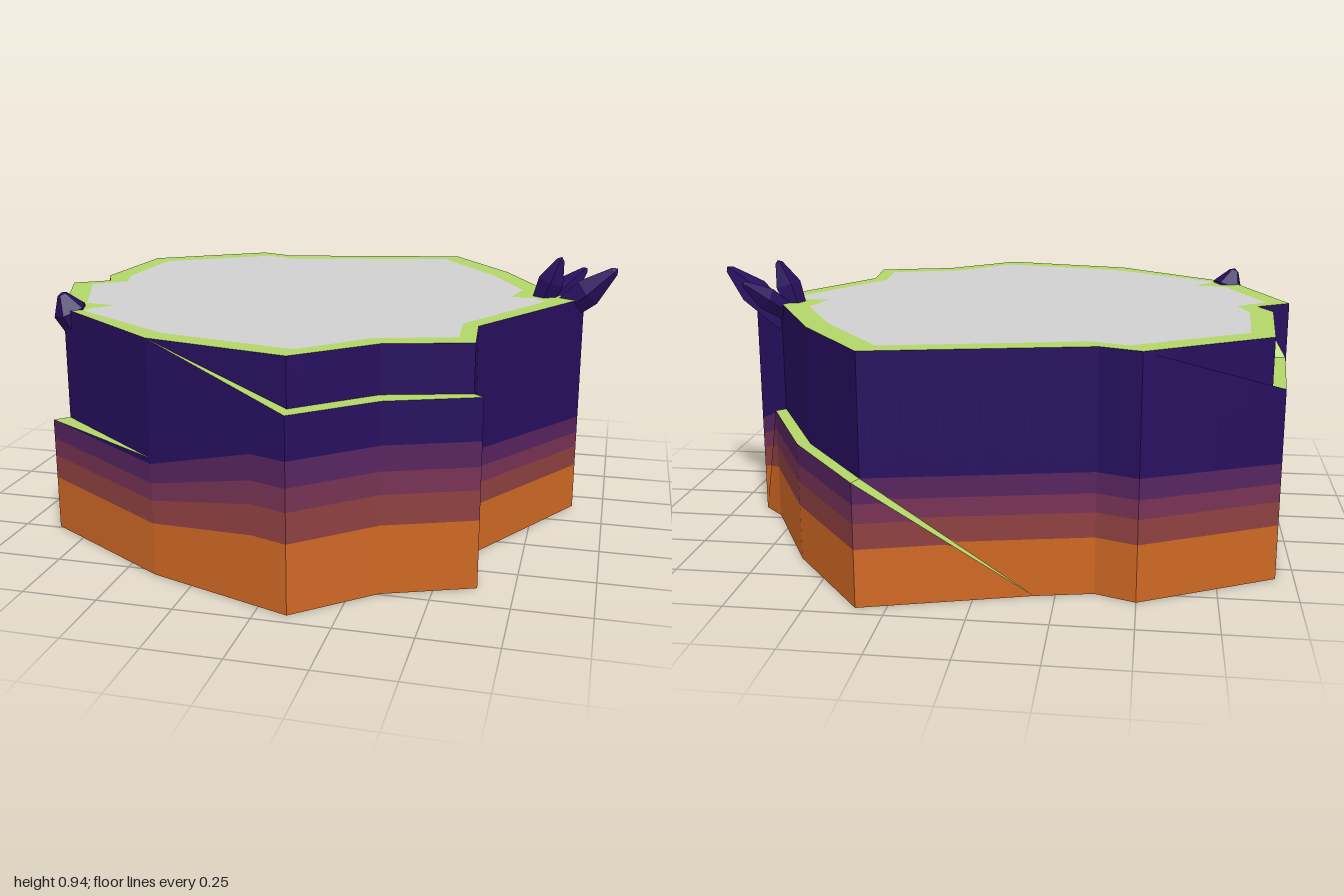
import * as THREE from 'three';

const TOP = 0.79;
const mat = (name, color) => {
  const m = new THREE.MeshStandardMaterial({ color, side: THREE.DoubleSide });
  m.name = name;
  return m;
};

// Cliff runs, counter-clockwise from the front.
// Node: [outerX, outerZ, ledgeHeight, innerX, innerZ, heightOfColouredStrata]
const plain = (x, z, strata, y = TOP) => [x, z, y, x, z, strata];
const RUNS = {
  frontLedge: [
    plain(-0.393, 0.783, 0.38),
    [-0.02, 0.913, 0.669, -0.029, 0.864, 0.49],
    [0.10, 0.955, 0.63, 0.088, 0.89, 0.49],
    [0.34, 0.746, 0.63, 0.323, 0.68, 0.49],
    [0.634, 0.63, 0.63, 0.60, 0.60, 0.49],
    plain(0.58, 0.377, 0.37, 0),
  ],
  leftCliff: [plain(0.58, 0.377, 0.37), plain(0.89, -0.15, 0.35)],
  backLeftLedge: [
    plain(0.89, -0.15, 0.35, 0),
    [0.815, -0.224, 0.4, 0.785, -0.195, 0.4],
    [0.617, -0.607, 0.4, 0.575, -0.596, 0.4],
    [0.345, -0.96, 0.4, 0.33, -0.917, 0.4],
    plain(-0.185, -0.806, 0.4, 0),
  ],
  backCliff: [plain(-0.185, -0.806, 0.4), plain(-0.37, -0.767, 0.4), plain(-0.5, -0.815, 0.4)],
  backRightLedge: [
    plain(-0.5, -0.815, 0.4),
    [-0.94, -0.58, 0.63, -0.90, -0.565, 0.39],
    [-0.98, -0.14, 0.63, -0.93, -0.147, 0.39],
    plain(-0.885, -0.055, 0.38),
  ],
  rightCliff: [plain(-0.885, -0.055, 0.38), plain(-1, 0.02, 0.375)],
  frontRightLedge: [
    plain(-1, 0.02, 0.375, 0),
    [-0.874, 0.49, 0.4, -0.83, 0.45, 0.4],
    plain(-0.393, 0.783, 0.38, 0.4),
  ],
};

// Edge of the grey centre of the top, as [x, z]
const PLATEAU = [
  [0.29, -0.837], [0.52, -0.53], [0.665, -0.25], [0.635, -0.115], [0.72, -0.11], [0.76, -0.06],
  [0.527, 0.35], [0.54, 0.54], [0.28, 0.62], [0.088, 0.81], [-0.366, 0.71], [-0.745, 0.47],
  [-0.74, 0.43], [-0.68, 0.36], [-0.79, 0.35], [-0.92, 0.03], [-0.815, -0.055], [-0.85, -0.17],
  [-0.83, -0.51], [-0.46, -0.74], [-0.34, -0.70],
];

function stripGeometry(rows) {
  // rows: list of [lowerPoint, upperPoint]; joins neighbours with flat quads
  const pos = [];
  for (let i = 0; i + 1 < rows.length; i++) {
    const [a, d] = rows[i], [b, c] = rows[i + 1];
    pos.push(...a, ...b, ...c, ...a, ...c, ...d);
  }
  const g = new THREE.BufferGeometry();
  g.setAttribute('position', new THREE.Float32BufferAttribute(pos, 3));
  g.computeVertexNormals();
  return g;
}

// Divides a run so that sloping ledges cut cleanly through the strata
function subdivide(run, steps = 20) {
  const out = [];
  for (let i = 0; i + 1 < run.length; i++)
    for (let s = 0; s <= steps; s++)
      out.push(run[i].map((v, k) => v + (run[i + 1][k] - v) * s / steps));
  return out;
}

function flatGeometry(points, hole) {
  const toV = ([x, z]) => new THREE.Vector2(x, -z);
  const shape = new THREE.Shape(points.map(toV));
  if (hole) shape.holes.push(new THREE.Path(hole.map(toV)));
  return new THREE.ShapeGeometry(shape).rotateX(-Math.PI / 2).translate(0, TOP, 0);
}

// Faceted crystal from a base point to a tip
function crystal(base, tip, radius, material) {
  const from = new THREE.Vector3(...base), dir = new THREE.Vector3(...tip).sub(from);
  const h = dir.length();
  const profile = [[0, 0], [0.75, 0], [1, 0.55], [0.3, 0.95], [0, 1]]
    .map(([r, y]) => new THREE.Vector2(r * radius, y * h));
  const g = new THREE.LatheGeometry(profile, 5).toNonIndexed();
  g.computeVertexNormals();
  const m = new THREE.Mesh(g, material);
  m.position.copy(from);
  m.quaternion.setFromUnitVectors(new THREE.Vector3(0, 1, 0), dir.normalize());
  m.name = 'crystal';
  return m;
}

export function createModel() {
  const model = new THREE.Group();
  model.name = 'rockPlatform';
  const lime = mat('lime grass', 0xb4d668);
  const grey = mat('grey plateau', 0xd0d0d0);
  const indigo = mat('indigo rock', 0x270f5e);
  const strata = [
    ['orangeStratum', mat('orange rock', 0xcf6824), 0, 0.47],
    ['rustStratum', mat('rust rock', 0x8f4040), 0.47, 0.675],
    ['plumStratum', mat('plum rock', 0x763254), 0.675, 0.83],
    ['purpleStratum', mat('purple rock', 0x57245f), 0.83, 1],
    ['indigoStratum', indigo, 1, null],
  ];
  const add = (parent, name, geometry, material) => {
    const m = new THREE.Mesh(geometry, material);
    m.name = name;
    parent.add(m);
  };

  // Cliffs: outer wall below each ledge, inner wall above it, ledge between
  for (const [name, run] of Object.entries(RUNS)) {
    const group = new THREE.Group();
    group.name = name;
    model.add(group);
    const nodes = subdivide(run);
    const stepped = run.some((n) => n[0] !== n[3]);
    for (const [band, material, lo, hi] of strata) {
      const wall = (k, bottom, top) => stripGeometry(nodes.map((n) => {
        const clampY = (y) => Math.min(Math.max(y, bottom(n)), top(n));
        const y0 = clampY(lo * n[5]), y1 = clampY(hi === null ? TOP : hi * n[5]);
        return [[n[k], y0, n[k + 1]], [n[k], y1, n[k + 1]]];
      }));
      add(group, band + 'Lower', wall(0, () => 0, (n) => n[2]), material);
      if (stepped) add(group, band + 'Upper', wall(3, (n) => n[2], () => TOP), material);
    }
    if (stepped)
      add(group, 'ledgeTop', stripGeometry(run.map((n) => [[n[0], n[2], n[1]], [n[3], n[2], n[4]]])), lime);
  }

  // Flat top with its grassy rim
  const outline = Object.values(RUNS).flatMap((run) => run.slice(0, -1).map((n) => [n[3], n[4]]));
  add(model, 'grassRim', flatGeometry(outline, PLATEAU), lime);
  add(model, 'plateau', flatGeometry(PLATEAU), grey);

  // Crystals growing from the rim
  const crystals = new THREE.Group();
  crystals.name = 'crystals';
  crystals.add(
    crystal([0.78, 0.71, -0.16], [1.0, 0.905, -0.135], 0.055, indigo),
    crystal([0.75, 0.74, -0.17], [0.89, 0.875, -0.29], 0.042, indigo),
    crystal([0.73, 0.74, -0.165], [0.805, 0.935, -0.15], 0.048, indigo),
    crystal([-0.78, 0.70, 0.425], [-0.835, 0.845, 0.45], 0.06, indigo),
  );
  model.add(crystals);
  return model;
}
